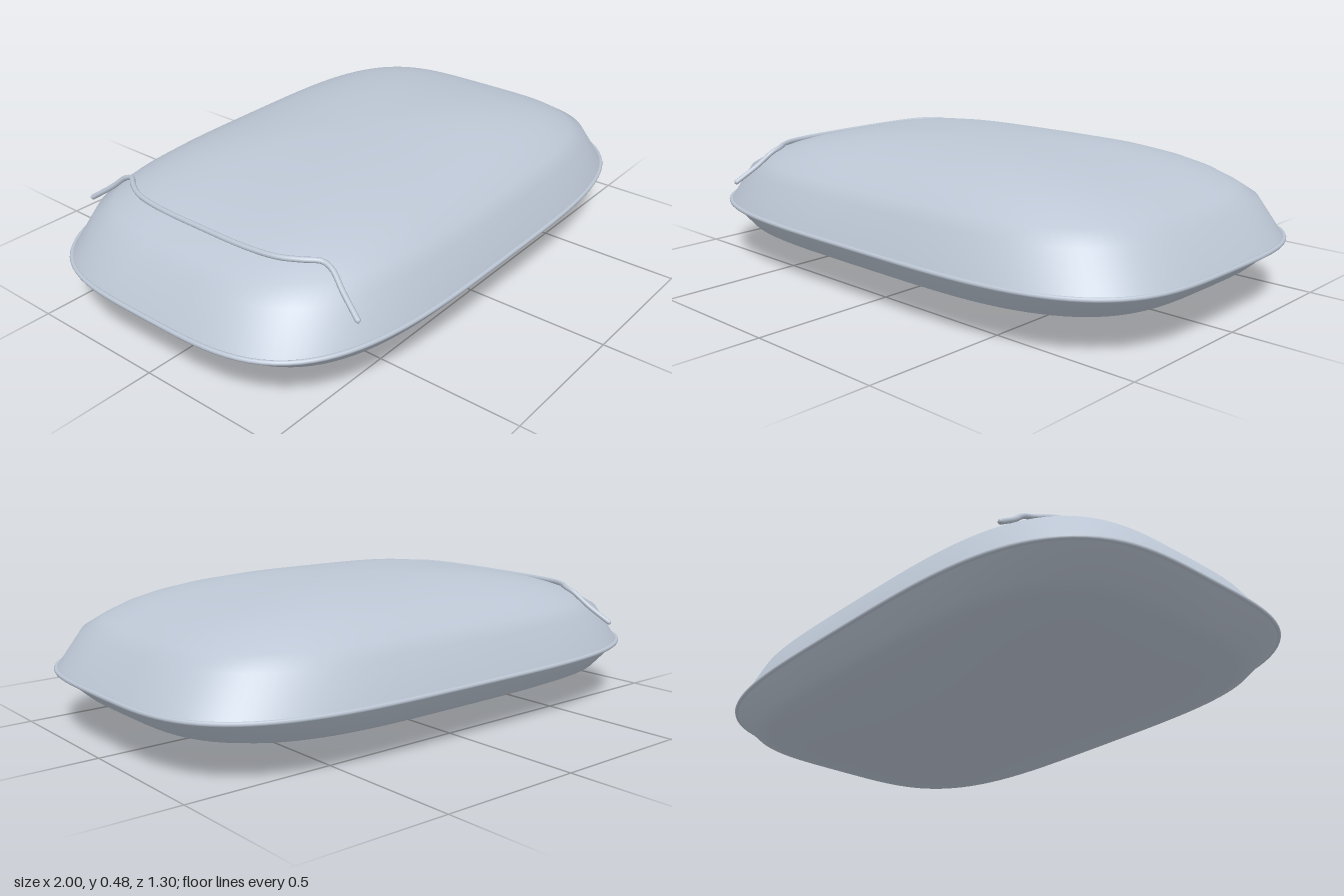
import * as THREE from 'three';

const HALF_X = 0.992, HALF_Z = 0.642, SEAM_Y = 0.2, POWER = 3.7, SEGMENTS = 96;

// Point on the rounded-rectangle outline (superellipse)
function outline(i) {
  const t = (i / SEGMENTS) * Math.PI * 2;
  const bend = (v) => Math.sign(v) * Math.pow(Math.abs(v), 2 / POWER);
  return [HALF_X * bend(Math.cos(t)), HALF_Z * bend(Math.sin(t))];
}

// Half of the cushion: scaled outline rings, profile = [scale, height from the seam]
function shell(profile, dir) {
  const pos = [], index = [];
  const put = (x, h, z) => pos.push(x, SEAM_Y + dir * h * (1 + 0.015 * Math.sin(3 * x) * (1 - x * x)), z);
  put(0, profile[0][1], 0);
  const tri = (a, b, c) => (dir > 0 ? index.push(a, b, c) : index.push(a, c, b));
  profile.slice(1).forEach(([s, h], r) => {
    for (let i = 0; i < SEGMENTS; i++) {
      const [x, z] = outline(i);
      put(x * s, h, z * s);
      const j = (i + 1) % SEGMENTS, a = 1 + r * SEGMENTS;
      if (r === 0) tri(0, a + j, a + i);
      else {
        const b = a - SEGMENTS;
        tri(b + i, b + j, a + j);
        tri(b + i, a + j, a + i);
      }
    }
  });
  const g = new THREE.BufferGeometry();
  g.setAttribute('position', new THREE.Float32BufferAttribute(pos, 3));
  g.setIndex(index);
  g.computeVertexNormals();
  return g;
}

export function createModel() {
  const group = new THREE.Group();
  const fabric = new THREE.MeshStandardMaterial({ color: 0xbcc6d4 });
  fabric.name = 'pale blue-grey fabric';
  const add = (name, geometry) => {
    const mesh = new THREE.Mesh(geometry, fabric);
    mesh.name = name;
    group.add(mesh);
  };

  // Plump upper half and shallower lower half
  add('pillowTop', shell([[0, 0.287], [0.15, 0.285], [0.3, 0.278], [0.45, 0.265], [0.6, 0.242],
    [0.7, 0.22], [0.78, 0.195], [0.85, 0.163], [0.915, 0.125], [1, 0]], 1));
  add('pillowBottom', shell([[0, 0.197], [0.15, 0.194], [0.3, 0.184], [0.45, 0.168], [0.6, 0.148],
    [0.7, 0.13], [0.78, 0.114], [0.85, 0.097], [0.915, 0.077], [1, 0]], -1));

  // Piping round the seam
  const rim = [];
  for (let i = 0; i < SEGMENTS; i++) {
    const [x, z] = outline(i);
    rim.push(new THREE.Vector3(x, SEAM_Y + 0.001, z));
  }
  add('seamPiping', new THREE.TubeGeometry(new THREE.CatmullRomCurve3(rim, true), 160, 0.008, 8, true));

  // Raised seam across one end, mirrored front to back
  const half = [[-0.71, 0.293, 0.58], [-0.685, 0.345, 0.505], [-0.667, 0.39, 0.45], [-0.668, 0.402, 0.415],
    [-0.7, 0.405, 0.37], [-0.732, 0.404, 0.305], [-0.75, 0.403, 0.2]];
  const path = [...half, [-0.755, 0.403, 0], ...half.map(([x, y, z]) => [x, y, -z]).reverse()]
    .map((p) => new THREE.Vector3(...p));
  add('endSeam', new THREE.TubeGeometry(new THREE.CatmullRomCurve3(path), 80, 0.009, 8));
  for (const p of [path[0], path[path.length - 1]]) {
    add('endSeamTip', new THREE.SphereGeometry(0.009, 10, 8).translate(p.x, p.y, p.z));
  }
  return group;
}
